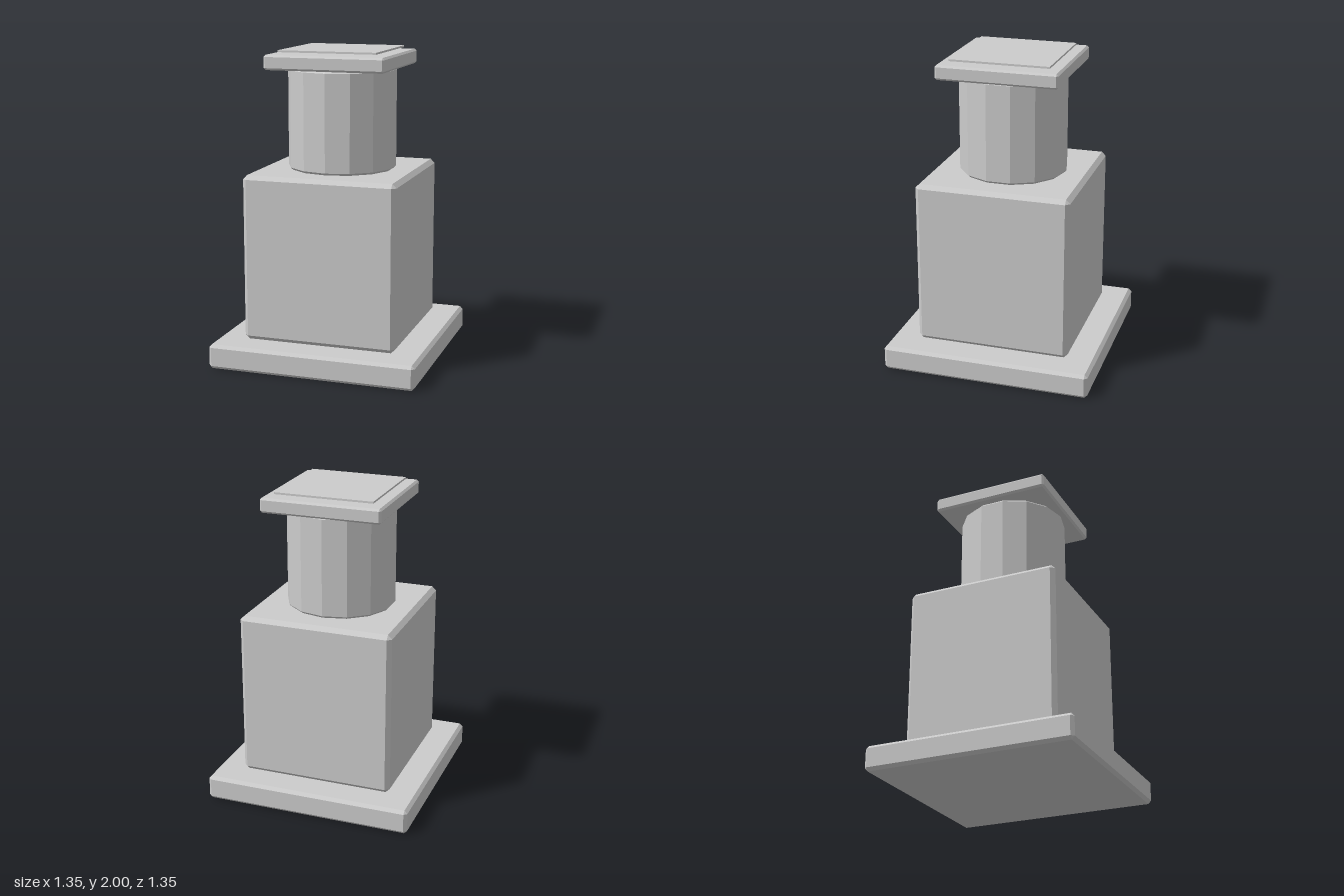
import * as THREE from 'three';
import { ConvexGeometry } from 'three/addons/geometries/ConvexGeometry.js';

const material = new THREE.MeshStandardMaterial({ color: 0xcccccc, flatShading: true });

// Square block with every edge chamfered by c
function chamferedBlock(name, half, y0, y1, c) {
  const h = (y1 - y0) / 2;
  const points = [];
  for (const sx of [-1, 1]) for (const sy of [-1, 1]) for (const sz of [-1, 1]) {
    points.push(
      new THREE.Vector3(sx * half, sy * (h - c), sz * (half - c)),
      new THREE.Vector3(sx * (half - c), sy * h, sz * (half - c)),
      new THREE.Vector3(sx * (half - c), sy * (h - c), sz * half)
    );
  }
  const mesh = new THREE.Mesh(new ConvexGeometry(points), material);
  mesh.name = name;
  mesh.position.y = (y0 + y1) / 2;
  return mesh;
}

// Fourteen-sided column with chamfered rims
function chamferedColumn(name, radius, y0, y1, c) {
  const profile = [
    [0, y0], [radius - c, y0], [radius, y0 + c],
    [radius, y1 - c], [radius - c, y1], [0, y1]
  ].map(([x, y]) => new THREE.Vector2(x, y));
  const mesh = new THREE.Mesh(new THREE.LatheGeometry(profile, 14), material);
  mesh.name = name;
  return mesh;
}

export function createModel() {
  const model = new THREE.Group();
  model.name = 'pedestal';

  // Stacked from the ground up
  model.add(chamferedBlock('base', 0.675, 0, 0.16, 0.02));
  model.add(chamferedBlock('body', 0.5, 0.16, 1.23, 0.027));
  model.add(chamferedColumn('column', 0.35, 1.23, 1.88, 0.014));
  model.add(chamferedBlock('cap', 0.39, 1.88, 1.975, 0.013));

  // Thin plate just above the cap
  const plate = new THREE.Mesh(new THREE.BoxGeometry(0.64, 0.012, 0.64), material);
  plate.name = 'topPlate';
  plate.position.y = 1.994;
  model.add(plate);

  return model;
}
